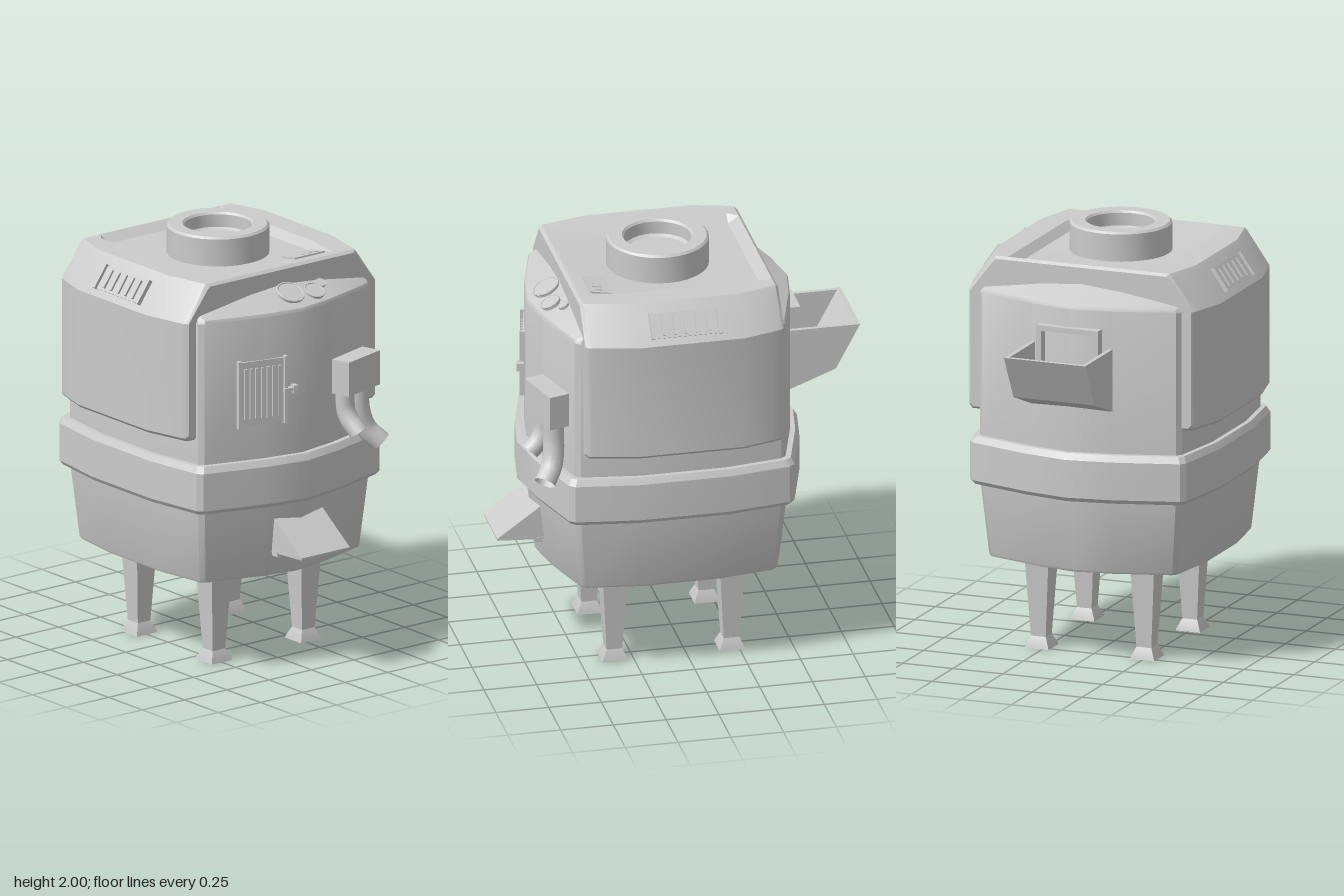
import * as THREE from 'three';
import { toCreasedNormals } from 'three/addons/utils/BufferGeometryUtils.js';

const CZ = 0.067; // depth of the body's centre line
const material = new THREE.MeshStandardMaterial({ color: 0xcccccc });
const thin = new THREE.MeshStandardMaterial({ color: 0xcccccc, side: THREE.DoubleSide });

function add(parent, name, geometry, pos = [0, 0, 0], rot = [0, 0, 0], mat = material) {
  const mesh = new THREE.Mesh(toCreasedNormals(geometry, 0.4), mat);
  mesh.name = name;
  mesh.position.set(...pos);
  mesh.rotation.set(...rot);
  parent.add(mesh);
  return mesh;
}

const box = (x, y, z) => new THREE.BoxGeometry(x, y, z);

// Skin between equal-length rings, capped at both ends
function loft(rings) {
  const n = rings[0].length, last = rings.length - 1;
  const points = rings.flat(), index = [];
  for (let i = 0; i < last; i++) {
    for (let j = 0; j < n; j++) {
      const a = i * n + j, b = i * n + (j + 1) % n;
      index.push(a, b, b + n, a, b + n, a + n);
    }
  }
  for (const i of [0, last]) {
    const centre = [0, 1, 2].map(k => rings[i].reduce((s, p) => s + p[k], 0) / n);
    const c = points.push(centre) - 1;
    for (let j = 0; j < n; j++) {
      const a = i * n + j, b = i * n + (j + 1) % n;
      if (i) index.push(c, a, b); else index.push(c, b, a);
    }
  }
  const g = new THREE.BufferGeometry();
  g.setAttribute('position', new THREE.Float32BufferAttribute(points.flat(), 3));
  g.setIndex(index);
  return g;
}

// Bulged plan of the body, mirrored from one quarter
const quarter = [[0, 0.62], [0.2, 0.585], [0.485, 0.5], [0.505, 0.475], [0.545, 0.2]];
const half = [...quarter, ...quarter.map(([x, z]) => [x, -z]).reverse()];
const plan = [...half, ...half.slice(1, -1).map(([x, z]) => [-x, z]).reverse()];
const ring = (y, s) => plan.map(([x, z]) => [x * s, y, z * s + CZ]);

// Extrude a side profile of [z, y] points across the width, centred on x = 0
function acrossX(points, width) {
  const shape = new THREE.Shape(points.map(([z, y]) => new THREE.Vector2(-z, y)));
  return new THREE.ExtrudeGeometry(shape, { depth: width, bevelEnabled: false })
    .translate(0, 0, -width / 2).rotateY(Math.PI / 2);
}

// Slatted grille lying in its own xy plane
function grille(parent, name, w, h, slats, pos, rot) {
  const g = new THREE.Group();
  g.name = name;
  g.position.set(...pos);
  g.rotation.set(...rot, 'YXZ');
  parent.add(g);
  add(g, 'grillePlate', box(w - 0.02, h * 0.95, 0.012));
  for (const s of [-1, 1]) add(g, 'grillePost', box(0.016, h, 0.03), [s * (w / 2 - 0.008), 0, 0.005]);
  for (let i = 0; i < slats; i++) {
    const x = ((i + 1) / (slats + 1) - 0.5) * (w - 0.02);
    add(g, 'grilleSlat', box(0.014, h * 0.75, 0.016), [x, 0, 0.008]);
  }
  return g;
}

export function createModel() {
  const model = new THREE.Group();
  model.name = 'tank';

  // Tapered base, belt and upper body with sloping shoulders
  add(model, 'lowerBody', loft([ring(0.455, 0.925), ring(0.467, 0.935), ring(0.83, 1.0)]));
  add(model, 'belt', loft([ring(0.81, 0.98), ring(0.81, 1.045), ring(0.83, 1.07),
    ring(1.01, 1.07), ring(1.04, 1.04), ring(1.04, 0.98)]));
  const shoulder = plan.map(([x, z]) => {
    const over = Math.max(0, Math.abs(z) - 0.44);
    return [x * 0.998, 1.735 + over * 0.5, z - Math.sign(z) * over + CZ];
  });
  add(model, 'upperBody', loft([ring(1.0, 1), ring(1.72, 1), ring(1.735, 0.99), shoulder]));

  // Saddle shell over the body, with a shallow tray in its top
  const section = ([z, w, dip = 0, e = 0]) => {
    const right = [[w - 0.015, 1.155 + e], [w, 1.17 + e], [w, 1.725], [w - 0.11, 1.88 - e],
      [w - 0.125, 1.895 - e], [0.37, 1.895 - e], [0.333, 1.895 - e - dip]];
    return [...right, ...right.map(([x, y]) => [-x, y]).reverse()].map(([x, y]) => [x, y, z]);
  };
  add(model, 'shell', loft([
    [-0.41, 0.55, 0, 0.012], [-0.395, 0.562], [-0.345, 0.577, 0.035], [-0.21, 0.615, 0.035],
    [0.295, 0.615, 0.035], [0.5, 0.567], [0.515, 0.562], [0.53, 0.55, 0, 0.012],
  ].map(section)));

  // Round collar with a sunken hatch
  const collar = [[0.238, 1.84], [0.238, 1.99], [0.228, 2], [0.165, 2], [0.156, 1.99], [0.156, 1.93], [0.14, 1.92], [0, 1.92]];
  add(model, 'collar', new THREE.LatheGeometry(collar.map(p => new THREE.Vector2(...p)), 32), [-0.005, 0, 0.063]);

  // Small control plate on the tray
  const panel = new THREE.Group();
  panel.name = 'controlPanel';
  panel.position.set(0.228, 1.88, 0.402);
  panel.rotation.x = -0.17;
  model.add(panel);
  add(panel, 'controlPlate', box(0.176, 0.012, 0.105));
  for (const x of [0.02, 0.055]) add(panel, 'button', box(0.022, 0.018, 0.04), [x, 0, 0.01]);
  add(panel, 'slot', box(0.026, 0.016, 0.008), [-0.02, 0, 0.02]);

  // Gauges on the front shoulder
  for (const [x, y, z, r] of [[0, 1.782, 0.59, 0.068], [0.135, 1.768, 0.6, 0.05], [0.207, 1.782, 0.555, 0.027]]) {
    const gauge = new THREE.Group();
    gauge.name = 'gauge';
    gauge.position.set(x, y, z);
    gauge.rotation.x = 0.47;
    model.add(gauge);
    add(gauge, 'gaugeFace', new THREE.CylinderGeometry(r * 0.95, r * 0.95, 0.02, 24));
    add(gauge, 'gaugeRim', new THREE.TorusGeometry(r * 0.94, r * 0.07, 6, 24), [0, 0.01, 0], [Math.PI / 2, 0, 0]);
  }

  // Side vents and front grille door with its latch
  for (const s of [-1, 1]) {
    grille(model, 'sideVent', 0.335, 0.125, 5, [s * 0.56, 1.803, 0.06], [-0.617, s * Math.PI / 2, 0]);
  }
  const door = grille(model, 'frontGrille', 0.25, 0.325, 7, [-0.213, 1.362, 0.648], [0, -0.24, 0]);
  add(door, 'latch', box(0.06, 0.018, 0.03), [0.135, 0, 0.015]);
  add(door, 'latchKnob', box(0.022, 0.038, 0.035), [0.16, 0, 0.015]);

  // Exhaust box with two bent pipes
  add(model, 'exhaustBox', box(0.245, 0.165, 0.1), [0.33, 1.358, 0.663], [0, 0.27, 0]);
  const pipes = [
    [0.045, [0.27, 1.3, 0.66], [0.27, 1.19, 0.665], [0.275, 1.14, 0.69], [0.287, 1.095, 0.735]],
    [0.05, [0.365, 1.3, 0.64], [0.37, 1.17, 0.64], [0.4, 1.07, 0.655], [0.452, 1.005, 0.7]],
  ];
  for (const [r, ...pts] of pipes) {
    const curve = new THREE.CatmullRomCurve3(pts.map(p => new THREE.Vector3(...p)));
    add(model, 'exhaustPipe', new THREE.TubeGeometry(curve, 14, r, 16), undefined, undefined, thin);
  }

  // Wedge spout low on the front
  add(model, 'spout', acrossX([[0.855, 0.582], [0.855, 0.592], [0.65, 0.738], [0.58, 0.738], [0.58, 0.565]], 0.285));
  for (const x of [-0.135, 0.135]) add(model, 'spoutStud', box(0.02, 0.025, 0.04), [x, 0.568, 0.66]);

  // Open hopper on the back
  const outer = [[-0.85, 1.54], [-0.735, 1.325], [-0.5, 1.235]];
  add(model, 'hopperWall', acrossX([...outer, [-0.5, 1.257], [-0.722, 1.342], [-0.828, 1.54]], 0.405));
  for (const x of [-0.193, 0.193]) add(model, 'hopperSide', acrossX([...outer, [-0.5, 1.54]], 0.02), [x, 0, 0]);

  // Raised frame above the hopper
  const frame = new THREE.Shape([[-0.155, 1.27], [0.155, 1.27], [0.155, 1.635], [-0.155, 1.635]].map(p => new THREE.Vector2(...p)));
  frame.holes.push(new THREE.Path([[-0.13, 1.3], [-0.13, 1.61], [0.13, 1.61], [0.13, 1.3]].map(p => new THREE.Vector2(...p))));
  add(model, 'hopperFrame', new THREE.ExtrudeGeometry(frame, { depth: 0.08, bevelEnabled: false }), [0, 0, -0.578]);

  // Four square tapered legs with flared feet
  const leg = [[0, 0], [0.06, 0], [0.058, 0.01], [0.037, 0.055], [0.062, 0.47], [0, 0.47]]
    .map(([r, y]) => new THREE.Vector2(r * Math.SQRT2, y));
  for (const x of [-0.25, 0.278]) {
    for (const z of [-0.215, 0.34]) {
      add(model, 'leg', new THREE.LatheGeometry(leg, 4), [x, 0, z], [0, Math.PI / 4, 0]);
    }
  }
  return model;
}
